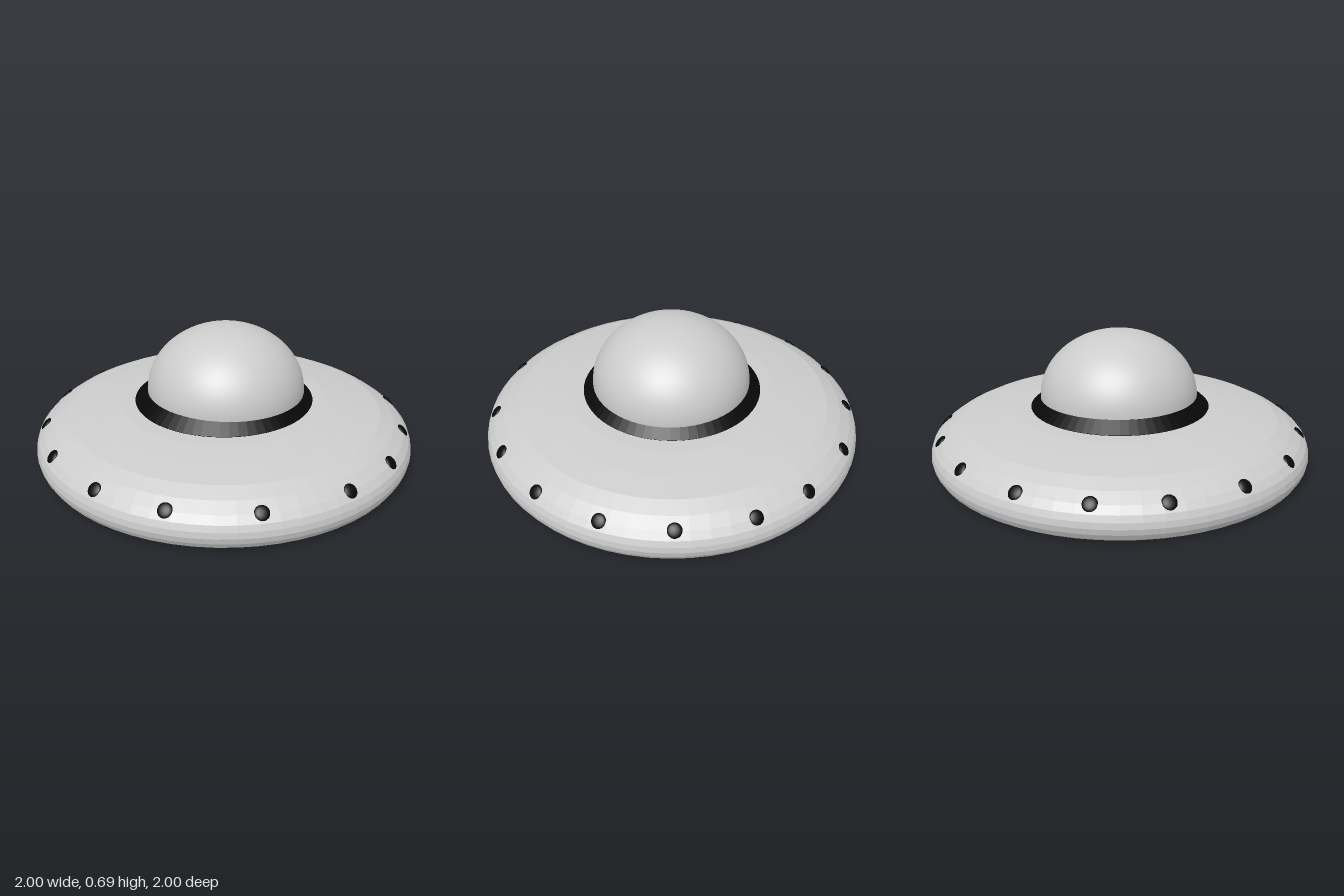
import * as THREE from 'three';

const grey = new THREE.MeshStandardMaterial({ color: 0xcccccc });
const greyFlat = new THREE.MeshStandardMaterial({ color: 0xcccccc, flatShading: true });
const black = new THREE.MeshStandardMaterial({ color: 0x080808 });
const blackFlat = new THREE.MeshStandardMaterial({ color: 0x080808, flatShading: true });

function add(parent, name, geometry, material) {
  const mesh = new THREE.Mesh(geometry, material);
  mesh.name = name;
  parent.add(mesh);
  return mesh;
}

// Turns a bottom-to-top [radius, height] profile around the y axis
function lathe(profile, segments) {
  return new THREE.LatheGeometry(profile.map(([r, y]) => new THREE.Vector2(r, y)), segments);
}

export function createModel() {
  const saucer = new THREE.Group();
  saucer.name = 'flyingSaucer';

  // Disc-shaped hull with a flat underside and a rounded rim
  add(saucer, 'hull', lathe([
    [0, 0.003], [0.95, 0.003], [0.975, 0.02], [0.993, 0.05], [1, 0.08], [0.996, 0.11],
    [0.984, 0.14], [0.955, 0.173], [0.9, 0.212], [0.83, 0.246], [0.7, 0.27],
    [0.55, 0.29], [0.4, 0.295], [0, 0.295],
  ], 64), greyFlat);

  // Sloping collar around the dome; its lower end shows as a hatch underneath
  add(saucer, 'domeCollar', lathe([
    [0, 0.0015], [0.29, 0.0015], [0.4, 0.1], [0.473, 0.295], [0.41, 0.35], [0, 0.35],
  ], 64), blackFlat);

  // Dome, an ellipsoid sunk through the hull
  const dome = add(saucer, 'dome', new THREE.SphereGeometry(1, 64, 40), grey);
  dome.scale.set(0.416, 0.347, 0.416);
  dome.position.set(0.01, 0.347, 0);

  // Unevenly spaced oval lights around the rim, tilted to follow the hull
  const lights = new THREE.Group();
  lights.name = 'rimLights';
  saucer.add(lights);
  const lightShape = new THREE.SphereGeometry(1, 20, 12);
  const angles = [1, 28, 49, 71, 93, 114, 137, 156, 179, 202, 223, 243.5, 266.5, 289, 313, 335.5];
  for (const degrees of angles) {
    const a = THREE.MathUtils.degToRad(degrees);
    const light = add(lights, 'rimLight', lightShape, black);
    light.scale.set(0.036, 0.036, 0.013);
    light.position.set(0.95 * Math.sin(a), 0.172, 0.95 * Math.cos(a));
    light.rotation.set(-0.75, a, 0, 'YXZ');
  }

  return saucer;
}
